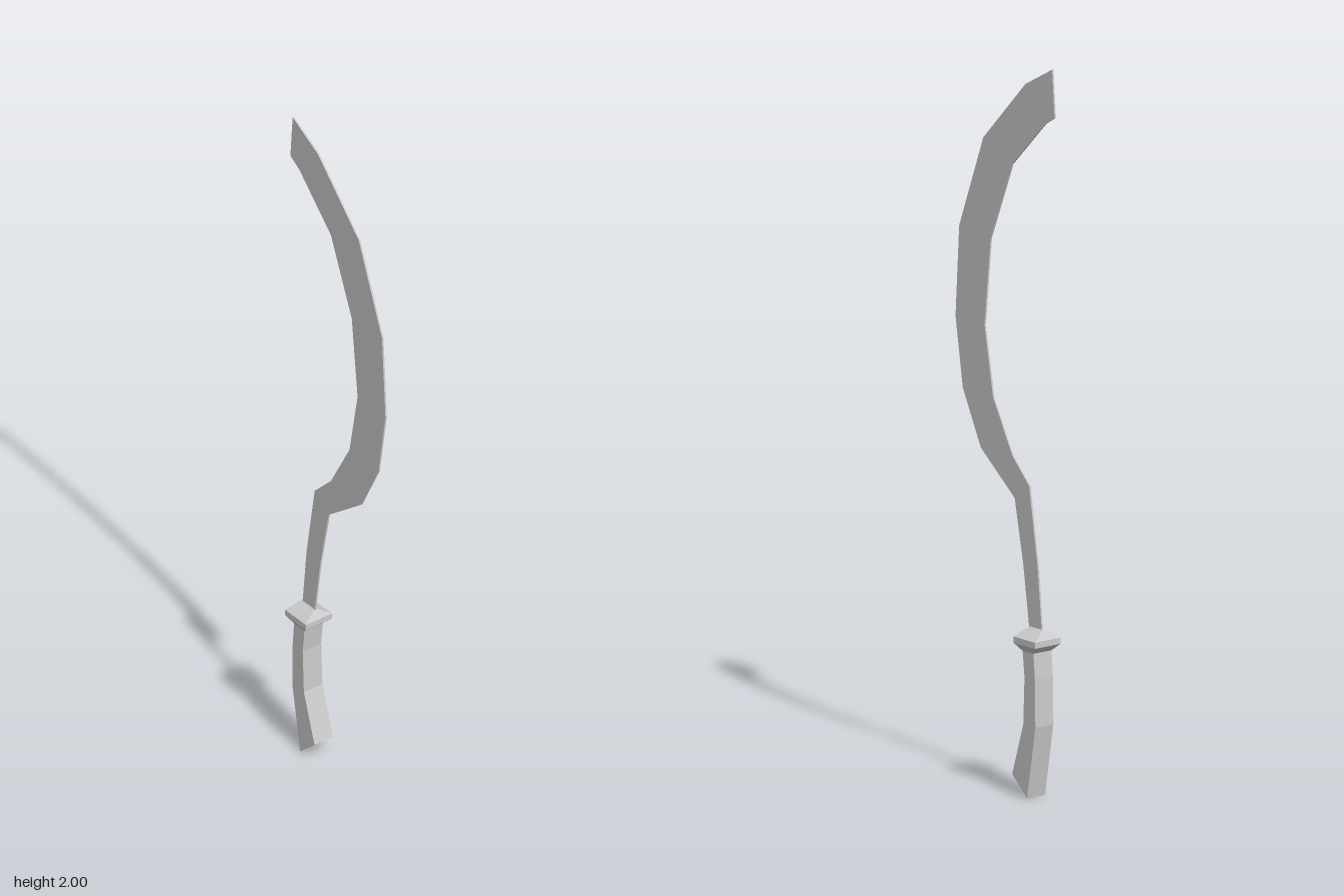
import * as THREE from 'three';

const material = new THREE.MeshStandardMaterial({ color: 0xcccccc, flatShading: true });

// Extrude a side profile of [z, y] points to a given width centred on x = 0
function sideProfile(name, points, width) {
  const shape = new THREE.Shape(points.map(([z, y]) => new THREE.Vector2(z, y)));
  const geometry = new THREE.ExtrudeGeometry(shape, { depth: width, bevelEnabled: false });
  geometry.translate(0, 0, -width / 2).rotateY(-Math.PI / 2);
  const mesh = new THREE.Mesh(geometry, material);
  mesh.name = name;
  return mesh;
}

// Loft rectangular sections [y, halfWidth, zBack, zFront] from bottom to top
function rectLoft(name, sections) {
  const positions = [];
  const index = [];
  for (const [y, w, back, front] of sections) {
    positions.push(-w, y, front, w, y, front, w, y, back, -w, y, back);
  }
  for (let s = 0; s < sections.length - 1; s++) {
    for (let i = 0; i < 4; i++) {
      const a = s * 4 + i, b = s * 4 + (i + 1) % 4;
      index.push(a, b, b + 4, a, b + 4, a + 4);
    }
  }
  const t = (sections.length - 1) * 4;
  index.push(0, 2, 1, 0, 3, 2, t, t + 1, t + 2, t, t + 2, t + 3);
  let geometry = new THREE.BufferGeometry();
  geometry.setAttribute('position', new THREE.Float32BufferAttribute(positions, 3));
  geometry.setIndex(index);
  geometry = geometry.toNonIndexed();
  geometry.computeVertexNormals();
  const mesh = new THREE.Mesh(geometry, material);
  mesh.name = name;
  return mesh;
}

export function createModel() {
  const group = new THREE.Group();
  group.name = 'curvedSword';

  // Thin sickle blade: convex front edge upwards, concave back edge downwards
  const frontEdge = [
    [-0.105, 0.42], [-0.1, 0.46], [-0.075, 0.63], [-0.04, 0.8], [0.1, 0.91], [0.175, 1.06],
    [0.205, 1.25], [0.19, 1.5], [0.09, 1.76], [-0.085, 1.94], [-0.195, 2],
  ];
  const backEdge = [
    [-0.205, 1.87], [-0.165, 1.845], [-0.03, 1.71], [0.06, 1.49], [0.085, 1.25], [0.05, 1.06],
    [-0.03, 0.915], [-0.1, 0.845], [-0.135, 0.63], [-0.152, 0.46], [-0.155, 0.42],
  ];
  group.add(sideProfile('blade', [...frontEdge, ...backEdge], 0.005));

  // Guard: flares out from the grip, then closes to a ridge like a hipped roof
  group.add(rectLoft('guard', [
    [0.4, 0.031, -0.152, -0.107],
    [0.42, 0.044, -0.174, -0.085],
    [0.437, 0.044, -0.174, -0.085],
    [0.463, 0, -0.156, -0.104],
  ]));

  // Grip: bent bar with a slanted butt
  group.add(sideProfile('grip', [
    [-0.107, 0.405], [-0.115, 0.33], [-0.11, 0.2], [-0.064, 0.055],
    [-0.126, 0], [-0.16, 0.2], [-0.158, 0.33], [-0.152, 0.405],
  ], 0.062));

  return group;
}
